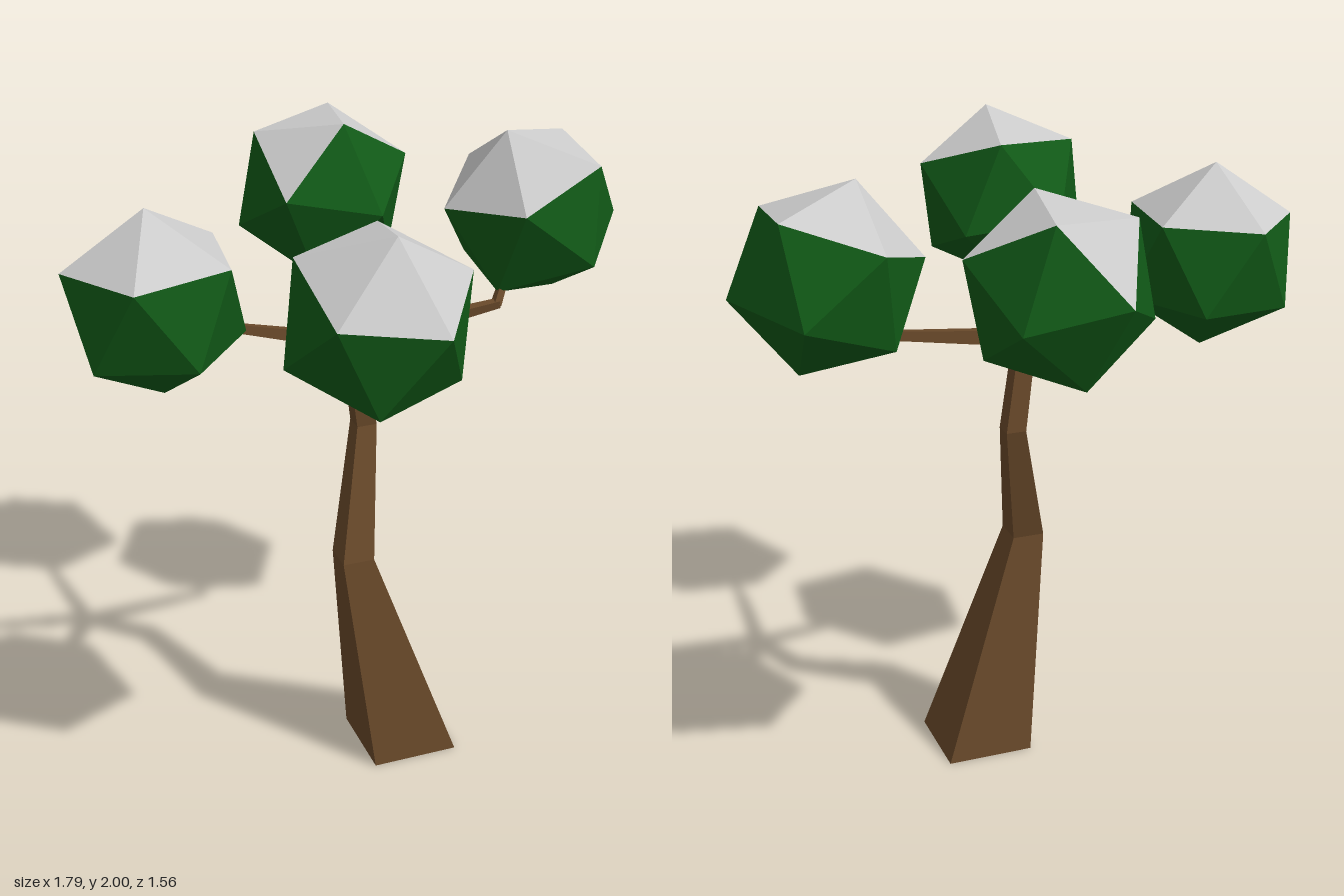
import * as THREE from 'three';
import { ConvexGeometry } from 'three/addons/geometries/ConvexGeometry.js';

const V = (a) => new THREE.Vector3(...a);
const bark = new THREE.MeshStandardMaterial({ color: 0x69492a, flatShading: true });
const leaf = new THREE.MeshStandardMaterial({ color: 0x115a17, flatShading: true });
const snow = new THREE.MeshStandardMaterial({ color: 0xcccccc, flatShading: true });

// Four-sided tapered limb through rows of [x, y, z, radius]; rings lie square to dir
function limb(name, rows, dir, turn = Math.PI / 4) {
  const n = 4, pos = [], idx = [];
  const q = new THREE.Quaternion().setFromUnitVectors(new THREE.Vector3(0, 1, 0), dir.clone().normalize());
  rows.forEach(([x, y, z, r], k) => {
    for (let i = 0; i < n; i++) {
      const t = turn + (i * 2 * Math.PI) / n;
      const p = V([r * Math.cos(t), 0, r * Math.sin(t)]).applyQuaternion(q);
      pos.push(p.x + x, p.y + y, p.z + z);
      if (k > 0) {
        const a = (k - 1) * n + i, b = (k - 1) * n + ((i + 1) % n);
        idx.push(a, a + n, b, b, a + n, b + n);
      }
    }
  });
  const e = (rows.length - 1) * n;
  idx.push(0, 1, 2, 0, 2, 3, e, e + 2, e + 1, e, e + 3, e + 2);
  let g = new THREE.BufferGeometry();
  g.setAttribute('position', new THREE.Float32BufferAttribute(pos, 3));
  g.setIndex(idx);
  g = g.toNonIndexed();
  g.computeVertexNormals();
  const mesh = new THREE.Mesh(g, bark);
  mesh.name = name;
  return mesh;
}

// Icosahedral foliage: a and b point to two neighbouring corners, cap is the snow direction
function canopy(name, centre, a, b, cap = a) {
  const R = 0.289, up = V(a).normalize(), capDir = V(cap).normalize();
  const side = V(b).addScaledVector(up, -V(b).dot(up)).normalize();
  const corners = [up.clone()];
  for (let i = 0; i < 5; i++) {
    corners.push(side.clone().applyAxisAngle(up, (i * 2 * Math.PI) / 5)
      .multiplyScalar(2 / Math.sqrt(5)).addScaledVector(up, 1 / Math.sqrt(5)));
  }
  const pts = corners.flatMap((p) => [p.clone().multiplyScalar(R), p.clone().multiplyScalar(-R)]);
  const src = new ConvexGeometry(pts).getAttribute('position');
  const parts = { leaves: [], snow: [] };
  for (let f = 0; f < src.count; f += 3) {
    const c = [0, 1, 2].map((k) => new THREE.Vector3().fromBufferAttribute(src, f + k));
    const normal = c[0].clone().add(c[1]).add(c[2]).normalize();
    const list = normal.dot(capDir) > 0.6 ? parts.snow : parts.leaves;
    c.forEach((p) => list.push(p.x, p.y, p.z));
  }
  const group = new THREE.Group();
  group.name = name;
  for (const key of ['leaves', 'snow']) {
    const g = new THREE.BufferGeometry();
    g.setAttribute('position', new THREE.Float32BufferAttribute(parts[key], 3));
    g.computeVertexNormals();
    const mesh = new THREE.Mesh(g, key === 'snow' ? snow : leaf);
    mesh.name = key;
    group.add(mesh);
  }
  group.position.set(...centre);
  return group;
}

export function createModel() {
  const tree = new THREE.Group();
  tree.name = 'tree';

  // Crooked trunk
  tree.add(limb('trunk', [
    [0.083, 0, 0.08, 0.198],
    [-0.083, 0.735, 0.071, 0.072],
    [0.002, 1.14, -0.032, 0.045],
    [-0.042, 1.4, -0.015, 0.04],
    [-0.052, 1.46, -0.015, 0.04],
  ], new THREE.Vector3(0, 1, 0), (50 * Math.PI) / 180));

  // Fork where the branches meet
  const fork = new THREE.Mesh(new THREE.IcosahedronGeometry(0.052, 0), bark);
  fork.name = 'fork';
  fork.position.set(-0.055, 1.428, -0.015);
  tree.add(fork);

  // Branches, the left one bending upward at its tip
  const branches = {
    rightBranch: [[-0.05, 1.425, -0.025, 0.032], [-0.4, 1.515, -0.075, 0.018], [-0.6, 1.57, -0.1, 0.012]],
    frontBranch: [[-0.055, 1.425, -0.02, 0.032], [-0.155, 1.545, 0.27, 0.018], [-0.2, 1.61, 0.43, 0.012]],
    backBranch: [[-0.055, 1.425, -0.01, 0.032], [-0.015, 1.55, -0.28, 0.018], [0.01, 1.62, -0.42, 0.012]],
    leftBranch: [[-0.06, 1.425, -0.015, 0.036], [0.43, 1.487, 0.04, 0.017]],
  };
  for (const [name, rows] of Object.entries(branches)) {
    const dir = V(rows[rows.length - 1].slice(0, 3)).sub(V(rows[0].slice(0, 3)));
    tree.add(limb(name, rows, dir));
  }
  tree.add(limb('leftBranchTip', [[0.42, 1.483, 0.04, 0.018], [0.5, 1.6, -0.02, 0.012]], V([0.08, 0.11, -0.06])));

  // Foliage
  tree.add(
    canopy('rightCanopy', [-0.637, 1.632, -0.088], [-0.015, 0.287, -0.002], [-0.257, 0.113, -0.051]),
    canopy('frontCanopy', [-0.21, 1.73, 0.507], [0.005, 0.271, 0.102], [0.08, 0.032, 0.278]),
    canopy('backCanopy', [0.082, 1.737, -0.502], [-0.082, 0.013, -0.288], [0.088, 0.228, -0.153], [-0.19, 0.98, -0.1]),
    canopy('leftCanopy', [0.605, 1.722, -0.087], [-0.1, 0.272, 0.012], [-0.085, 0.118, -0.25]),
  );
  return tree;
}
